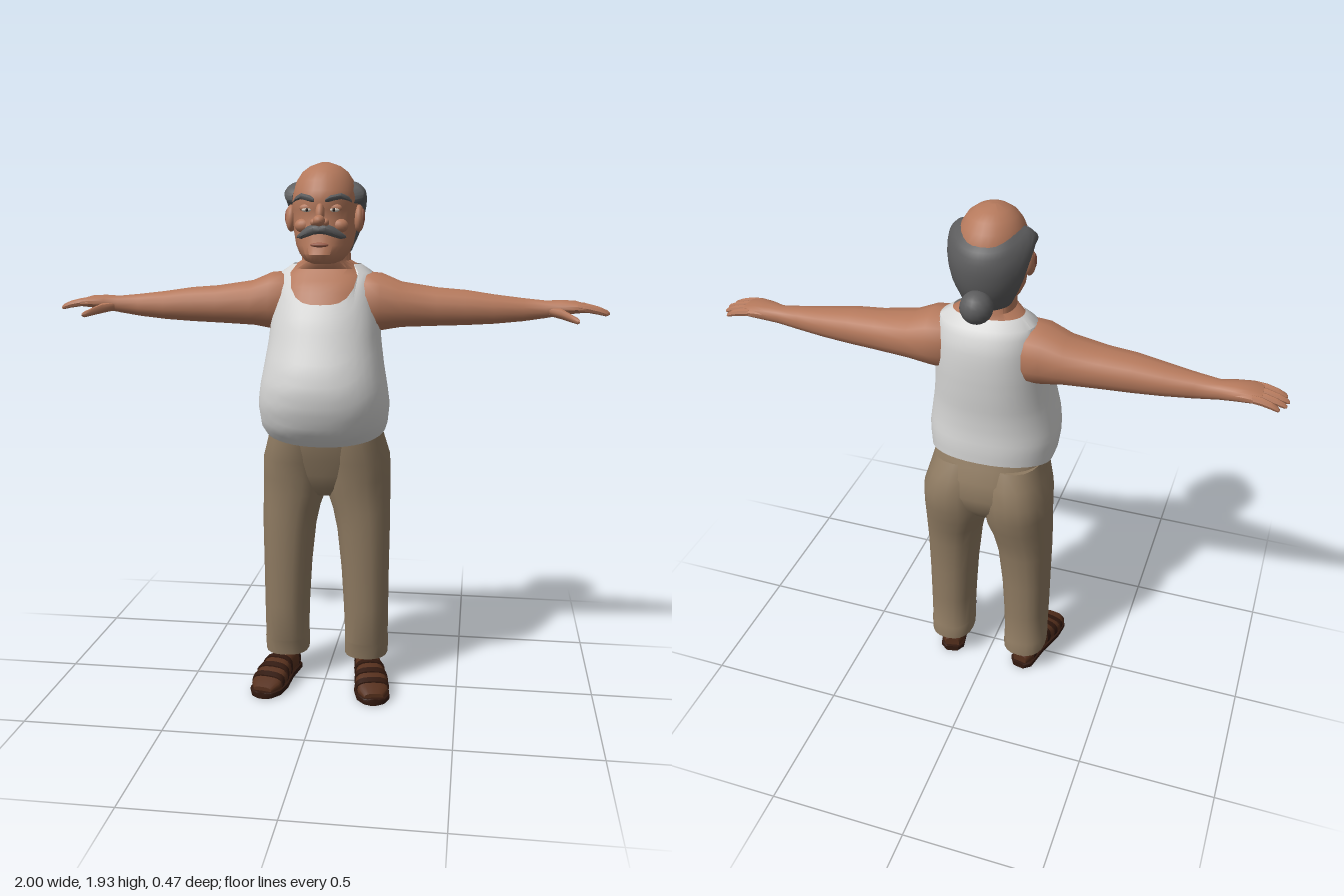
import * as THREE from 'three';
import { toCreasedNormals } from 'three/addons/utils/BufferGeometryUtils.js';

const mat = (name, color, side = THREE.FrontSide) => {
  const m = new THREE.MeshStandardMaterial({ color, side });
  m.name = name;
  return m;
};

// Linear interpolation in a table of rows sorted by their first number
function interp(rows, t) {
  let i = 0;
  while (i < rows.length - 2 && t > rows[i + 1][0]) i++;
  const a = rows[i], b = rows[i + 1];
  const k = Math.min(1, Math.max(0, (t - a[0]) / (b[0] - a[0])));
  return a.map((v, j) => v + (b[j] - v) * k);
}

const power = (v, p) => Math.sign(v) * Math.abs(v) ** p;
const smooth = (a, b, t) => THREE.MathUtils.smoothstep(t, a, b);

// Grid surface from a rule point(u, v), u and v in 0..1
function surface(point, nu, nv, crease = 0.75) {
  const pos = [], idx = [];
  for (let j = 0; j <= nv; j++)
    for (let i = 0; i <= nu; i++) pos.push(...point(i / nu, j / nv));
  for (let j = 0; j < nv; j++)
    for (let i = 0; i < nu; i++) {
      const a = j * (nu + 1) + i, b = a + 1, c = a + nu + 1, d = c + 1;
      idx.push(a, b, d, a, d, c);
    }
  const g = new THREE.BufferGeometry();
  g.setAttribute('position', new THREE.Float32BufferAttribute(pos, 3));
  g.setIndex(idx);
  return toCreasedNormals(g, crease);
}

// Closed loft of rounded sections along an axis.
// Rows: along y [y, z0, z1, x0, x1]; along x [x, y0, y1, z0, z1]; along z [z, x0, x1, y0, y1]
function loft(axis, rows, seg = 16, p = 1) {
  const cap = ([t, a, b, c, d]) => [t, (a + b) / 2, (a + b) / 2, (c + d) / 2, (c + d) / 2];
  const all = [cap(rows[0]), ...rows, cap(rows[rows.length - 1])];
  return surface((u, v) => {
    const [t, a, b, c, d] = all[Math.round(v * (all.length - 1))];
    const w = (u === 1 ? 0 : u) * Math.PI * 2;
    const m = (a + b) / 2 + (b - a) / 2 * power(Math.cos(w), p);
    const n = (c + d) / 2 + (d - c) / 2 * power(Math.sin(w), p);
    return axis === 'y' ? [n, t, m] : axis === 'x' ? [t, m, n] : [m, n, t];
  }, seg, all.length - 1);
}

// Profiles: [y, back z, front z, half width]
const TORSO = [
  [0.92, -0.16, 0.11, 0.18], [0.96, -0.175, 0.165, 0.207], [1.0, -0.182, 0.2, 0.228], [1.08, -0.185, 0.23, 0.237],
  [1.15, -0.18, 0.237, 0.228], [1.22, -0.182, 0.222, 0.215], [1.3, -0.19, 0.19, 0.203], [1.38, -0.195, 0.16, 0.195],
  [1.45, -0.195, 0.125, 0.185], [1.5, -0.188, 0.095, 0.178], [1.55, -0.165, 0.045, 0.165], [1.58, -0.13, 0.02, 0.118],
];
const HEAD = [
  [1.582, -0.04, 0.11, 0.04], [1.592, -0.1, 0.14, 0.066], [1.615, -0.12, 0.153, 0.085], [1.645, -0.13, 0.14, 0.1],
  [1.69, -0.138, 0.132, 0.109], [1.73, -0.143, 0.122, 0.113], [1.765, -0.147, 0.12, 0.115], [1.795, -0.147, 0.13, 0.116],
  [1.83, -0.142, 0.118, 0.112], [1.865, -0.125, 0.1, 0.1], [1.895, -0.1, 0.075, 0.08], [1.915, -0.07, 0.045, 0.053],
  [1.928, -0.025, 0.005, 0.015],
];
const SHOE = [
  [-0.115, -0.028, 0.028, 0.01, 0.06], [-0.09, -0.044, 0.044, 0.01, 0.085], [-0.03, -0.048, 0.048, 0.01, 0.1],
  [0.04, -0.053, 0.053, 0.01, 0.098], [0.1, -0.06, 0.06, 0.01, 0.078], [0.16, -0.056, 0.056, 0.01, 0.056],
  [0.195, -0.035, 0.035, 0.012, 0.04],
];

// Depth of the face surface at x, y
function faceZ(x, y) {
  const [, b, f, w] = interp(HEAD, y);
  return (b + f) / 2 + (f - b) / 2 * Math.sqrt(Math.max(0, 1 - (x / w) ** 2));
}

export function createModel() {
  const root = new THREE.Group();
  root.name = 'man';
  const skin = mat('skin', 0xb5795c), shirt = mat('shirtWhite', 0xd6d6d5, THREE.DoubleSide);
  const tan = mat('trouserTan', 0x8f7b62), hair = mat('hairGrey', 0x5c5c5d, THREE.DoubleSide);
  const brown = mat('sandalBrown', 0x56301d), sole = mat('soleDark', 0x32190f);
  const white = mat('eyeWhite', 0xd8cdc0), dark = mat('pupilDark', 0x2c211c), lip = mat('lip', 0x995c49);

  const add = (parent, name, geo, material) => {
    const m = new THREE.Mesh(geo, material);
    m.name = name;
    parent.add(m);
    return m;
  };
  const ball = (parent, name, material, [x, y, z], [sx, sy, sz]) => {
    const m = add(parent, name, new THREE.SphereGeometry(1, 16, 12), material);
    m.position.set(x, y, z);
    m.scale.set(sx, sy, sz);
    return m;
  };

  // Vest with a scooped neck and a sloping hem
  add(root, 'vest', surface((u, v) => {
    const w = (u === 1 ? 0 : u) * Math.PI * 2, front = Math.min(w, Math.PI * 2 - w);
    const top = 1.577 - 0.135 * Math.max(0, 1 - (front / 0.85) ** 3);
    const hem = 0.985 - 0.045 * Math.cos(w);
    const y = hem + (top - hem) * v;
    const [, b, f, h] = interp(TORSO, y);
    return [h * power(Math.sin(w), 0.9), y, (b + f) / 2 + (f - b) / 2 * power(Math.cos(w), 0.9)];
  }, 40, 20), shirt);

  // Chest under the vest, and neck
  const chest = [];
  for (let y = 1.36; y < 1.575; y += 0.02) {
    const [, b, f, h] = interp(TORSO, y);
    chest.push([y, b + 0.012, f - 0.012, 0.012 - h, h - 0.012]);
  }
  chest.push([1.59, -0.125, 0.045, -0.088, 0.088], [1.67, -0.12, 0.06, -0.082, 0.082]);
  add(root, 'chestAndNeck', loft('y', chest, 32, 0.9), skin);

  // Head
  const head = new THREE.Group();
  head.name = 'head';
  root.add(head);
  add(head, 'skull', loft('y', HEAD.map(([y, b, f, h]) => [y, b, f, -h, h]), 28), skin);
  ball(head, 'noseBridge', skin, [0, 1.755, 0.125], [0.016, 0.038, 0.022]).rotation.x = -0.35;
  ball(head, 'noseTip', skin, [0, 1.73, 0.15], [0.021, 0.019, 0.026]);
  ball(head, 'lowerLip', lip, [0, 1.648, 0.139], [0.032, 0.008, 0.01]);
  ball(head, 'bun', hair, [0, 1.643, -0.18], [0.055, 0.055, 0.055]);

  // Hair around the back and sides, above and behind the ears
  add(head, 'hair', surface((u, v) => {
    const w = 1.2 + u * (Math.PI * 2 - 2.4), side = Math.min(w, Math.PI * 2 - w);
    const low = 1.785 - 0.185 * smooth(1.55, 2.3, side);
    const high = 1.835 + 0.03 * smooth(1.2, 1.5, side) - 0.025 * smooth(1.9, 2.9, side);
    const y = low + (high - low) * v;
    const [, b, f, h] = interp(HEAD, Math.max(y, 1.64));
    const edge = Math.sqrt(Math.min(1, (side - 1.2) / 0.15));
    const o = -0.006 + 0.037 * Math.sqrt(Math.sin(Math.PI * Math.min(1, v))) * (0.25 + 0.75 * edge) || -0.006;
    return [(h + o) * Math.sin(w), y, (b + f) / 2 + ((f - b) / 2 + o) * Math.cos(w)];
  }, 30, 12, 1), hair);

  // Tuft along the face from points [x, y, half height]
  const tuft = (parent, name, pts, depth) => add(parent, name, loft('x', pts.map(([x, y, h]) => {
    const z = faceZ(x, y);
    return [x, y - h, y + h, z - 0.02, z + depth];
  }), 10), hair);

  for (const s of [1, -1]) {
    const half = new THREE.Group();
    half.name = s > 0 ? 'leftHalf' : 'rightHalf';
    half.scale.x = s;
    root.add(half);

    // Face
    ball(half, 'ear', skin, [0.12, 1.737, 0.0], [0.02, 0.048, 0.034]).rotation.x = -0.2;
    ball(half, 'earHollow', lip, [0.134, 1.742, 0.004], [0.008, 0.028, 0.017]).rotation.x = -0.2;
    ball(half, 'nostril', skin, [0.02, 1.724, 0.132], [0.013, 0.013, 0.017]);
    ball(half, 'cheek', skin, [0.062, 1.712, 0.088], [0.032, 0.025, 0.025]);
    const ez = faceZ(0.048, 1.768);
    ball(half, 'eyelid', skin, [0.048, 1.772, ez - 0.003], [0.026, 0.014, 0.01]);
    ball(half, 'eye', white, [0.048, 1.766, ez], [0.019, 0.008, 0.009]);
    ball(half, 'pupil', dark, [0.047, 1.766, ez + 0.006], [0.006, 0.006, 0.004]);
    tuft(half, 'eyebrow', [[0.02, 1.797, 0.006], [0.035, 1.803, 0.011], [0.07, 1.811, 0.011], [0.092, 1.803, 0.008], [0.102, 1.793, 0.003]], 0.013);
    tuft(half, 'moustache', [[0, 1.698, 0.013], [0.02, 1.7, 0.018], [0.045, 1.692, 0.018], [0.068, 1.68, 0.013], [0.085, 1.674, 0.004]], 0.02);

    // Arm and palm
    add(half, 'arm', loft('x', [
      [0.1, 1.37, 1.53, -0.13, 0.04], [0.15, 1.335, 1.55, -0.155, 0.058], [0.2, 1.34, 1.545, -0.158, 0.06],
      [0.27, 1.352, 1.515, -0.15, 0.047], [0.4, 1.358, 1.495, -0.135, 0.03], [0.5, 1.362, 1.487, -0.127, 0.022],
      [0.6, 1.368, 1.472, -0.115, 0.008], [0.7, 1.378, 1.46, -0.102, -0.012], [0.78, 1.39, 1.452, -0.096, -0.024],
      [0.83, 1.4, 1.455, -0.107, -0.01], [0.88, 1.408, 1.453, -0.115, 0.001], [0.915, 1.412, 1.443, -0.112, 0.0],
    ], 14, 0.9), skin);

    // Fingers bend down a little and spread apart
    [[-0.1, -0.106, 0.975], [-0.072, -0.078, 0.995], [-0.042, -0.048, 1.0], [-0.014, -0.016, 0.99]].forEach(([z0, z1, tip], i) => {
      const rows = [[0, 0.014], [0.35, 0.014], [0.7, 0.012], [0.93, 0.009], [1, 0.004]].map(([k, r]) => {
        const y = 1.431 - 0.022 * k * k, z = z0 + (z1 - z0) * k;
        return [0.885 + (tip - 0.885) * k, y - r, y + r, z - r, z + r];
      });
      add(half, 'finger' + (i + 1), loft('x', rows, 8), skin);
    });
    add(half, 'thumb', loft('x', [
      [0.79, 1.4, 1.432, -0.055, -0.02], [0.83, 1.392, 1.428, -0.03, 0.012], [0.86, 1.385, 1.413, 0.006, 0.038],
      [0.882, 1.38, 1.402, 0.032, 0.056], [0.89, 1.384, 1.395, 0.046, 0.057],
    ], 8), skin);

    // Trouser leg with a turned hem
    add(half, 'trouserLeg', loft('y', [
      [0.1, -0.145, 0.022, 0.075, 0.225], [0.104, -0.157, 0.035, 0.07, 0.234], [0.16, -0.157, 0.043, 0.07, 0.236],
      [0.166, -0.155, 0.045, 0.072, 0.234], [0.3, -0.155, 0.055, 0.067, 0.235], [0.45, -0.158, 0.063, 0.058, 0.236],
      [0.6, -0.167, 0.071, 0.042, 0.238], [0.68, -0.183, 0.075, 0.025, 0.238], [0.74, -0.2, 0.08, 0.004, 0.237],
      [0.8, -0.214, 0.088, -0.004, 0.237], [0.87, -0.222, 0.1, -0.006, 0.235], [0.94, -0.205, 0.115, -0.008, 0.215],
      [1.0, -0.175, 0.115, -0.01, 0.2],
    ], 20, 0.85), tan);

    // Sandal, toes turned out
    const foot = new THREE.Group();
    foot.name = 'foot';
    foot.position.x = 0.168;
    foot.rotation.y = 0.2;
    half.add(foot);
    add(foot, 'ankle', loft('y', [[0.05, -0.1, 0.05, -0.042, 0.042], [0.1, -0.095, 0.025, -0.038, 0.038], [0.2, -0.09, 0.01, -0.036, 0.036]], 12), skin);
    add(foot, 'sole', loft('z', [
      [-0.125, -0.025, 0.025, 0, 0.024], [-0.1, -0.047, 0.047, 0, 0.025], [0, -0.05, 0.05, 0, 0.025],
      [0.1, -0.065, 0.065, 0, 0.025], [0.165, -0.061, 0.061, 0, 0.025], [0.2, -0.04, 0.04, 0, 0.025], [0.21, -0.018, 0.018, 0, 0.024],
    ], 16, 0.35), sole);
    add(foot, 'upper', loft('z', SHOE, 16, 0.75), brown);
    for (const z of [-0.07, 0.035, 0.085, 0.135]) {
      const rows = [-0.011, 0.011].map((d) => {
        const [t, a, b, c, e] = interp(SHOE, z + d);
        return [t, a - 0.004, b + 0.004, c, e + 0.005];
      });
      add(foot, 'strap', loft('z', rows, 16, 0.75), sole);
    }
  }

  // Seat of the trousers, joining the legs
  add(root, 'trouserSeat', loft('y', [
    [0.735, -0.1, 0.03, -0.07, 0.07], [0.77, -0.155, 0.06, -0.15, 0.15], [0.82, -0.195, 0.08, -0.2, 0.2],
    [0.88, -0.212, 0.1, -0.225, 0.225], [0.95, -0.203, 0.122, -0.212, 0.212], [1.0, -0.182, 0.125, -0.203, 0.203],
    [1.05, -0.165, 0.1, -0.19, 0.19],
  ], 28, 0.9), tan);

  return root;
}
